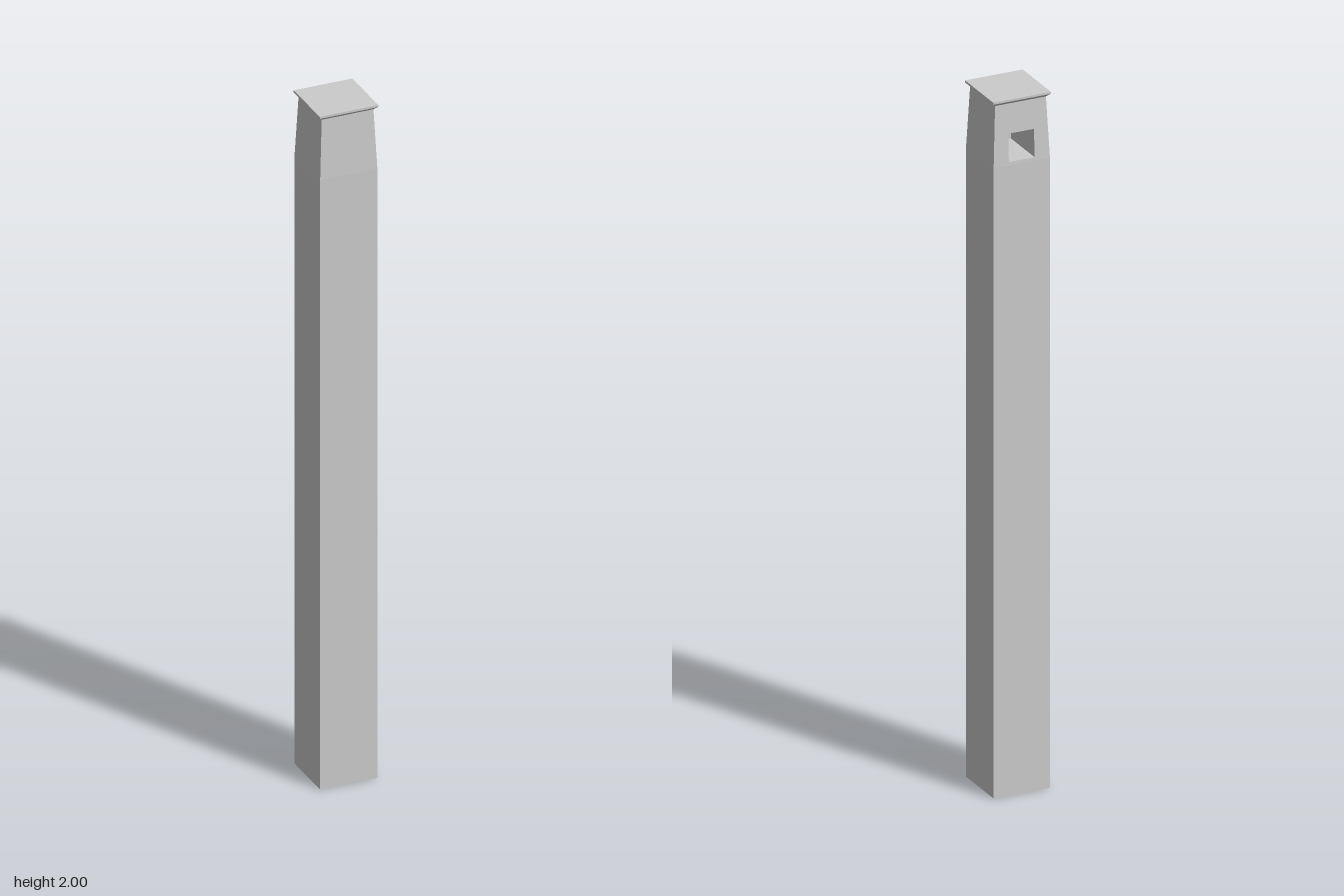
import * as THREE from 'three';

const W = 0.083;        // half width of the shaft
const NECK = 0.075;     // half width at the top of the tapered head
const Y0 = 1.81;        // start of the taper
const Y1 = 1.985;       // end of the taper
const POCKET_FRONT = 0.06; // depth plane where the window pocket ends

const material = new THREE.MeshStandardMaterial({ color: 0xcccccc, flatShading: true });

// Square solid from a profile of [half width, height], listed bottom to top
function squareTurned(name, profile) {
  const points = profile.map(([h, y]) => new THREE.Vector2(h * Math.SQRT2, y));
  const mesh = new THREE.Mesh(new THREE.LatheGeometry(points, 4, Math.PI / 4), material);
  mesh.name = name;
  return mesh;
}

// Slab of the tapered head; its outer face leans inward with height
function headSlab(name, zBack, zFront, hole) {
  const shape = new THREE.Shape([[-W, Y0], [W, Y0], [NECK, Y1], [-NECK, Y1]]
    .map(([x, y]) => new THREE.Vector2(x, y)));
  if (hole) shape.holes.push(hole);
  const geometry = new THREE.ExtrudeGeometry(shape, { depth: zFront - zBack, bevelEnabled: false });
  geometry.translate(0, 0, zBack);
  const p = geometry.attributes.position;
  for (let i = 0; i < p.count; i++) {
    const z = p.getZ(i);
    if (Math.abs(z) < W - 1e-4) continue;
    const half = THREE.MathUtils.mapLinear(p.getY(i), Y0, Y1, W, NECK);
    p.setZ(i, Math.sign(z) * half);
  }
  geometry.computeVertexNormals();
  const mesh = new THREE.Mesh(geometry, material);
  mesh.name = name;
  return mesh;
}

export function createModel() {
  const model = new THREE.Group();
  model.name = 'pillar';

  // Straight shaft with closed ends
  model.add(squareTurned('shaft', [[0, 0], [W, 0], [W, Y0], [0, Y0]]));

  // Tapered head with a square window pocket opening to the back
  const window = new THREE.Path([[-0.038, 1.82], [-0.038, 1.9], [0.038, 1.9], [0.038, 1.82]]
    .map(([x, y]) => new THREE.Vector2(x, y)));
  model.add(headSlab('headWithWindow', -W, POCKET_FRONT, window));
  model.add(headSlab('headFront', POCKET_FRONT, W));

  // Thin cap with a flared underside
  model.add(squareTurned('cap', [[0, Y1], [NECK, Y1], [0.085, 1.994], [0.085, 2], [0, 2]]));

  return model;
}
